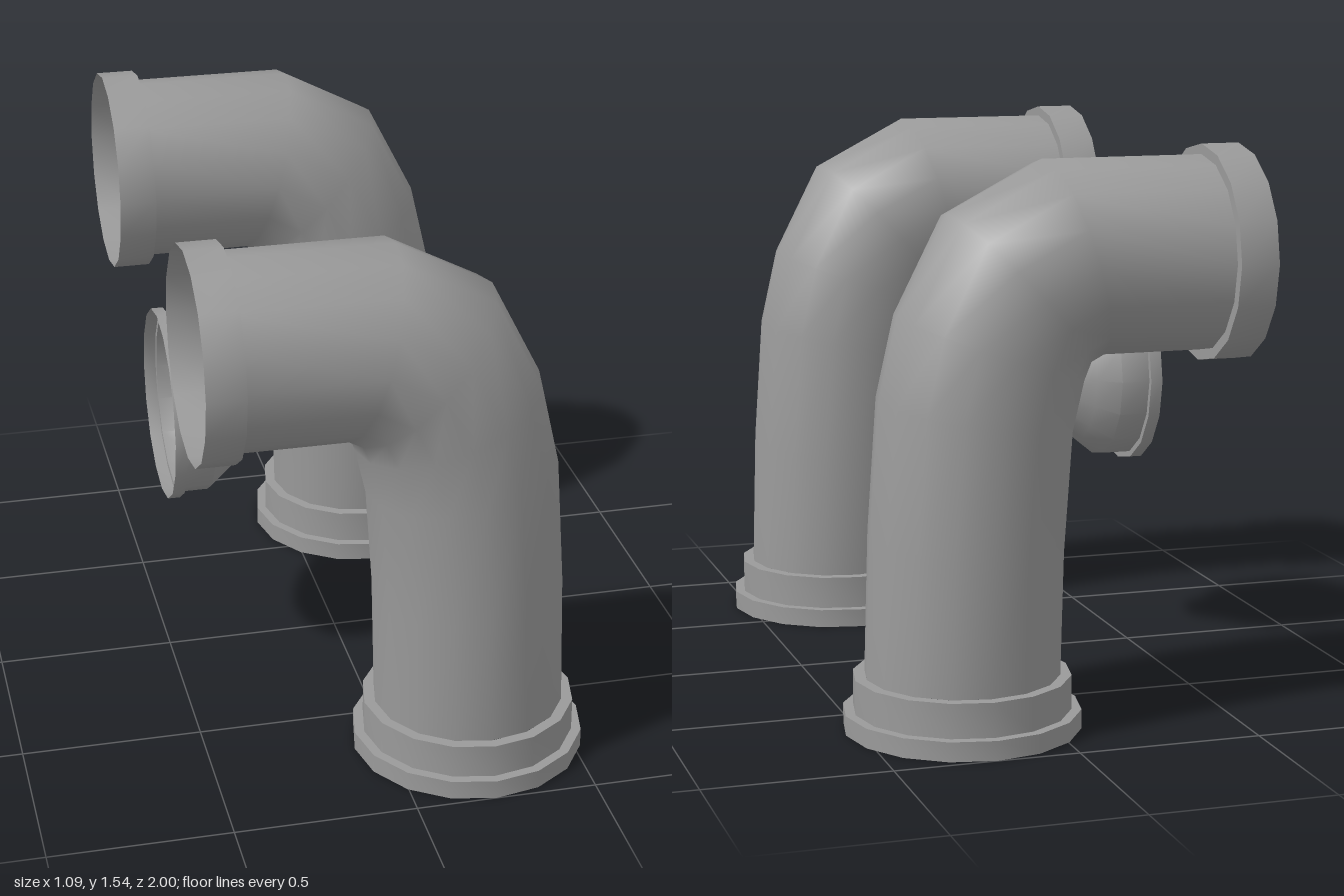
import * as THREE from 'three';
import { toCreasedNormals } from 'three/addons/utils/BufferGeometryUtils.js';

const SIDES = 16;
const RADIUS = 0.262;
const material = new THREE.MeshStandardMaterial({ color: 0x9a9a9a, side: THREE.DoubleSide });

function addMesh(parent, name, geometry) {
  const mesh = new THREE.Mesh(geometry, material);
  mesh.name = name;
  parent.add(mesh);
  return mesh;
}

// Open shell turned around y from [radius, height] pairs, with crisp steps
function turned(profile) {
  const points = profile.map(([r, y]) => new THREE.Vector2(r, y));
  return toCreasedNormals(new THREE.LatheGeometry(points, SIDES), 0.73);
}

// Bent pipe lofted through sections given as inner and outer points of the bend
function bentPipe(sections) {
  const positions = [];
  const index = [];
  sections.forEach(([ix, iy, ox, oy], i) => {
    for (let j = 0; j < SIDES; j++) {
      const a = (j / SIDES) * Math.PI * 2;
      const c = Math.cos(a) / 2;
      positions.push(
        (ix + ox) / 2 + (ox - ix) * c,
        (iy + oy) / 2 + (oy - iy) * c,
        RADIUS * Math.sin(a)
      );
      if (i === sections.length - 1) continue;
      const k = (j + 1) % SIDES;
      const p = i * SIDES, q = p + SIDES;
      index.push(p + j, q + j, p + k, p + k, q + j, q + k);
    }
  });
  const geometry = new THREE.BufferGeometry();
  geometry.setAttribute('position', new THREE.Float32BufferAttribute(positions, 3));
  geometry.setIndex(index);
  geometry.computeVertexNormals();
  return geometry;
}

function createElbow() {
  const elbow = new THREE.Group();
  elbow.name = 'elbowPipe';
  addMesh(elbow, 'pipe', bentPipe([
    [-0.04, 0.147, 0.485, 0.147],
    [-0.048, 0.48, 0.474, 0.53],
    [-0.07, 0.80, 0.449, 0.89],
    [-0.10, 0.93, 0.399, 1.11],
    [-0.115, 0.97, 0.264, 1.375],
    [-0.145, 0.986, 0.005, 1.51],
    [-0.44, 0.986, -0.44, 1.51],
  ]));

  // Stepped flange at the foot, open underneath
  const foot = addMesh(elbow, 'footFlange', turned([
    [0.32, 0], [0.32, 0.053], [0.293, 0.053], [0.293, 0.147], [RADIUS, 0.147],
  ]));
  foot.position.x = 0.223;

  // Socket collar at the upper mouth
  const collar = addMesh(elbow, 'mouthCollar', turned([
    [0.29, 0], [0.29, 0.105], [RADIUS, 0.105],
  ]));
  collar.rotation.z = -Math.PI / 2;
  collar.position.set(-0.545, 1.248, 0);
  return elbow;
}

function createValve() {
  const valve = new THREE.Group();
  valve.name = 'valveCap';

  // Domed cap, open at the back
  addMesh(valve, 'dome', turned([
    [0.27, 0], [0.27, 0.034], [0.254, 0.034], [0.254, 0.115],
    [0.205, 0.175], [0.14, 0.235], [0, 0.235],
  ]));

  // Handwheel on a short stem
  const stem = addMesh(valve, 'stem', new THREE.CylinderGeometry(0.009, 0.009, 0.05, 8));
  stem.position.y = 0.26;
  const wheel = new THREE.Group();
  wheel.name = 'handwheel';
  wheel.position.y = 0.281;
  wheel.rotation.y = -0.34;
  valve.add(wheel);
  const rim = addMesh(wheel, 'wheelRim', new THREE.TorusGeometry(0.107, 0.014, 8, 24));
  rim.rotation.x = Math.PI / 2;
  for (let i = 0; i < 2; i++) {
    const spoke = addMesh(wheel, 'spoke', new THREE.BoxGeometry(0.21, 0.01, 0.01));
    spoke.rotation.y = i * Math.PI / 2;
  }

  valve.rotation.z = -Math.PI / 2;
  valve.position.set(-0.518, 0.815, 0.052);
  return valve;
}

export function createModel() {
  const model = new THREE.Group();
  model.name = 'pipeSet';
  for (const side of [1, -1]) {
    const elbow = createElbow();
    elbow.position.z = side * 0.68;
    model.add(elbow);
  }
  model.add(createValve());
  return model;
}
